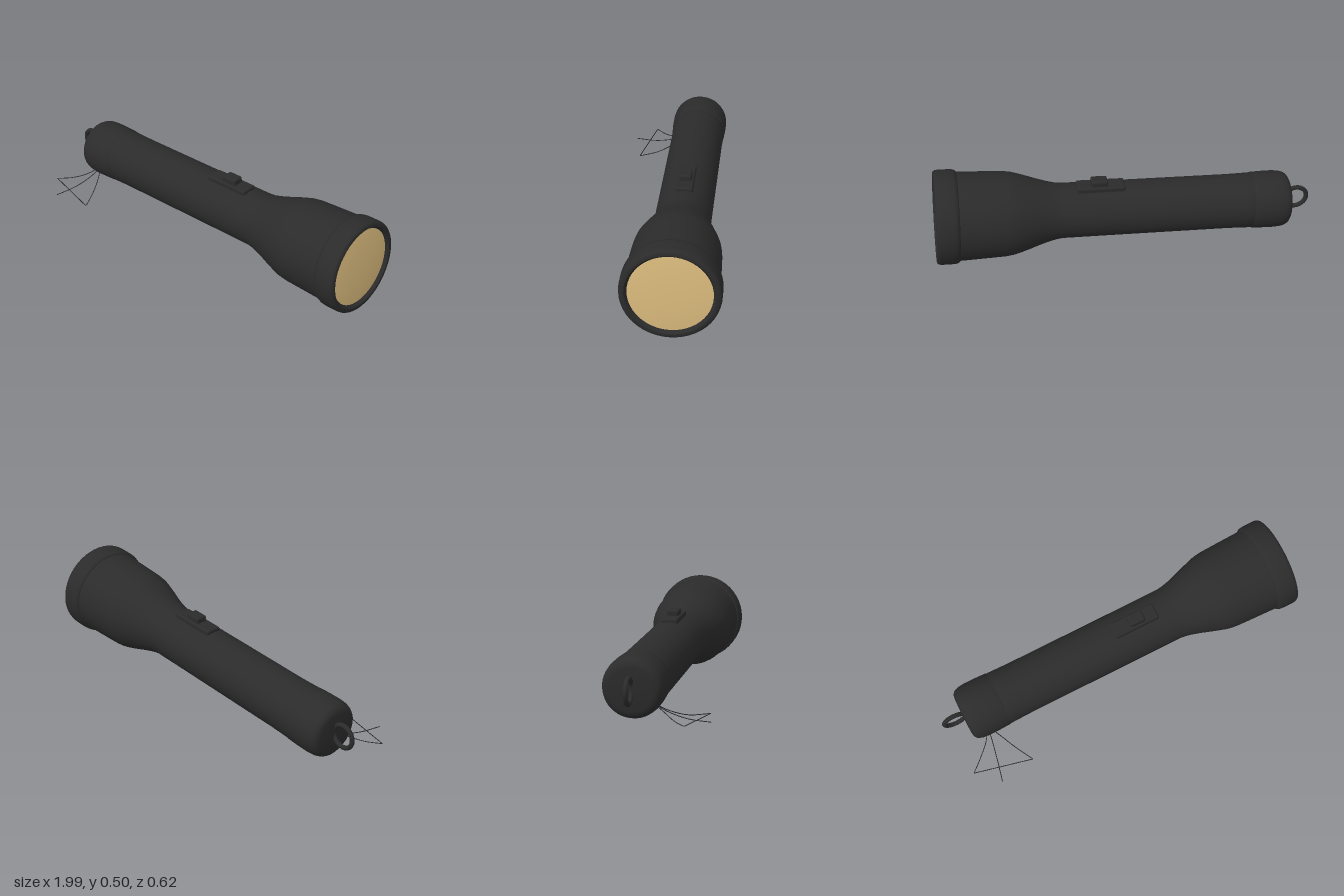
import * as THREE from 'three';
import { toCreasedNormals } from 'three/addons/utils/BufferGeometryUtils.js';
import { RoundedBoxGeometry } from 'three/addons/geometries/RoundedBoxGeometry.js';

export function createModel() {
  const model = new THREE.Group();
  model.name = 'flashlight';

  const black = new THREE.MeshStandardMaterial({ color: 0x2b2b2b });
  black.name = 'black casing';
  const amber = new THREE.MeshStandardMaterial({ color: 0xdcbc7e });
  amber.name = 'amber lens';

  // The torch tilts slightly upward toward its head (+x)
  const torch = new THREE.Group();
  torch.name = 'torch';
  torch.position.set(0, 0.2045, -0.065);
  torch.rotation.z = 0.0595;
  model.add(torch);

  const add = (parent, name, geometry, material, x = 0, y = 0, z = 0) => {
    const mesh = new THREE.Mesh(geometry, material);
    mesh.name = name;
    mesh.position.set(x, y, z);
    parent.add(mesh);
    return mesh;
  };

  // Turned part: points are [position along x, radius]
  const turned = (name, points, material) => {
    const profile = points.map(([s, r]) => new THREE.Vector2(r, s));
    const geometry = new THREE.LatheGeometry(profile, 48);
    geometry.rotateZ(-Math.PI / 2);
    return add(torch, name, toCreasedNormals(geometry, 0.65), material);
  };

  turned('tailCap', [
    [-0.88, 0], [-0.88, 0.105], [-0.877, 0.121], [-0.868, 0.134], [-0.855, 0.142],
    [-0.835, 0.148], [-0.8, 0.151], [-0.74, 0.1505], [-0.68, 0.148], [-0.673, 0.146], [-0.671, 0.138],
  ], black);

  turned('barrel', [
    [-0.69, 0.14], [-0.671, 0.146], [-0.62, 0.1445], [-0.55, 0.143], [0.1, 0.143], [0.33, 0.1435],
    [0.36, 0.147], [0.4, 0.156], [0.45, 0.171], [0.5, 0.188], [0.55, 0.204],
    [0.59, 0.215], [0.63, 0.22], [0.7, 0.223], [0.87, 0.229], [0.89, 0.229],
  ], black);

  // Head ring with a shallow recess around the lens
  turned('headRing', [
    [0.864, 0.222], [0.866, 0.231], [0.872, 0.238], [0.884, 0.242], [0.9, 0.2435], [0.96, 0.2435],
    [0.974, 0.241], [0.981, 0.236], [0.984, 0.23], [0.984, 0.216], [0.968, 0.203], [0.962, 0.2],
  ], black);

  // Gently domed lens
  turned('lens', [
    [0.968, 0.2035], [0.971, 0.17], [0.9735, 0.13], [0.9752, 0.085], [0.976, 0.04], [0.9763, 0],
  ], amber);

  // Switch plate and sliding button on top
  add(torch, 'switchPlate', new RoundedBoxGeometry(0.25, 0.04, 0.087, 3, 0.01), black, 0.133, 0.141, 0);
  add(torch, 'switchButton', new RoundedBoxGeometry(0.085, 0.05, 0.062, 3, 0.01), black, 0.142, 0.166, 0);

  // Hanging ring at the tail
  add(torch, 'hangingRing', new THREE.TorusGeometry(0.06, 0.012, 12, 40), black, -0.928, 0.005, 0);

  // Thin curved wires fanning out from under the tail cap
  const wire = (name, points) => {
    const curve = new THREE.CatmullRomCurve3(points.map(p => new THREE.Vector3(...p)));
    return add(model, name, new THREE.TubeGeometry(curve, 20, 0.0022, 6), black);
  };
  const root = [-0.785, 0.078, 0.02];
  wire('leftWire', [root, [-0.83, 0.041, 0.085], [-0.89, 0.016, 0.142], [-0.955, 0.008, 0.2]]);
  wire('middleWire', [root, [-0.795, 0.043, 0.085], [-0.815, 0.014, 0.19], [-0.84, 0.007, 0.308]]);
  wire('rightWire', [root, [-0.745, 0.036, 0.085], [-0.7, 0.008, 0.17], [-0.645, 0.007, 0.27]]);
  wire('crossWire', [[-0.955, 0.008, 0.2], [-0.8, 0.0075, 0.235], [-0.645, 0.007, 0.27]]);

  return model;
}
